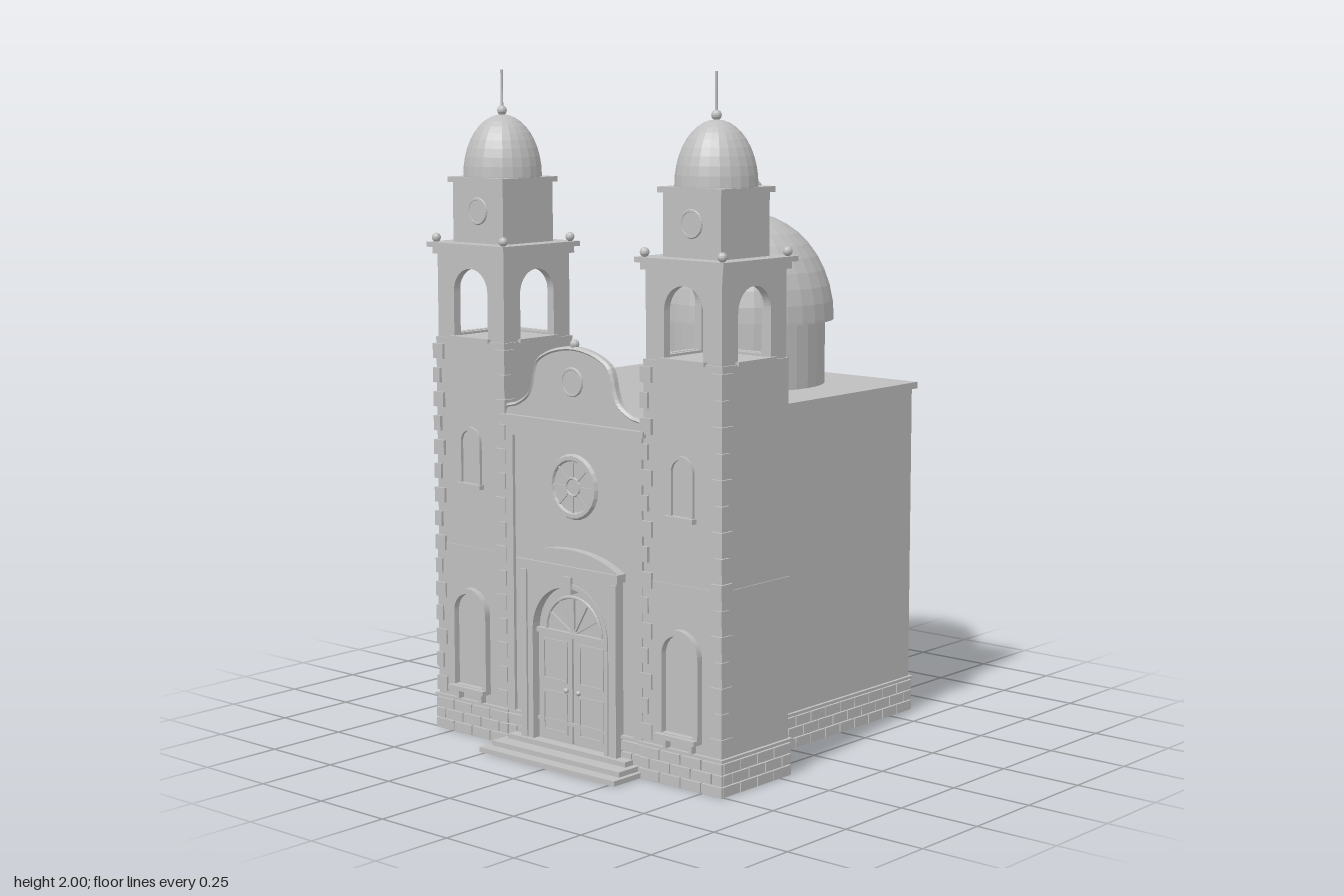
import * as THREE from 'three';

const stone = new THREE.MeshStandardMaterial({ color: 0xbfbfbf, flatShading: true });

function add(parent, name, geo, x = 0, y = 0, z = 0) {
  const m = new THREE.Mesh(geo, stone);
  m.name = name;
  m.position.set(x, y, z);
  parent.add(m);
  return m;
}

function group(name) {
  const g = new THREE.Group();
  g.name = name;
  return g;
}

// Box given by its extents
const block = (parent, name, x0, x1, y0, y1, z0, z1) =>
  add(parent, name, new THREE.BoxGeometry(x1 - x0, y1 - y0, z1 - z0), (x0 + x1) / 2, (y0 + y1) / 2, (z0 + z1) / 2);
const ball = (parent, name, r, x, y, z) => add(parent, name, new THREE.SphereGeometry(r, 12, 8), x, y, z);
const points = list => list.map(p => new THREE.Vector2(...p));
const rect = (w, y0, y1) => new THREE.Shape(points([[-w, y0], [w, y0], [w, y1], [-w, y1]]));
const extrude = (shape, depth) => new THREE.ExtrudeGeometry(shape, { depth, bevelEnabled: false, curveSegments: 12 });

// Round-headed outline: half width, foot, spring line
function arch(w, y0, spring) {
  const s = new THREE.Shape();
  s.moveTo(-w, y0);
  s.lineTo(w, y0);
  s.absarc(0, spring, w, 0, Math.PI, false);
  return s;
}

function framed(outer, hole, depth) {
  outer.holes.push(hole);
  return extrude(outer, depth);
}

// Dome with a short lip
function dome(r, h, segs) {
  const profile = [[r * 0.9, -0.008], [r, -0.008]];
  for (let i = 0; i <= 10; i++) {
    const a = (i / 10) * Math.PI / 2;
    profile.push([i === 10 ? 0 : r * Math.cos(a), h * Math.sin(a)]);
  }
  return new THREE.LatheGeometry(points(profile), segs);
}

// Staggered brick plinth around a rectangle
function brickBase(parent, x0, x1, z0, z1) {
  const g = group('brickBase'), t = 0.008, c = 0.01, rowH = 0.033;
  parent.add(g);
  block(g, 'plinthCap', x0 - c, x1 + c, 0.1, 0.108, z0 - c, z1 + c);
  const run = (a, b, place) => {
    const n = Math.max(1, Math.round((b - a) / 0.075)), w = (b - a) / n;
    for (let r = 0; r < 3; r++) for (let i = -(r % 2); i < n; i++) {
      const s = a + (i + (r % 2) / 2) * w;
      place(Math.max(a, s) + 0.002, Math.min(b, s + w) - 0.002, r * rowH, (r + 1) * rowH - 0.004);
    }
  };
  for (const z of [z0, z1]) run(x0 - t, x1 + t, (s, e, y0, y1) => block(g, 'brick', s, e, y0, y1, z - t, z + t));
  for (const x of [x0, x1]) run(z0, z1, (s, e, y0, y1) => block(g, 'brick', x - t, x + t, y0, y1, s, e));
}

function roundWindow(parent, r, x, y, z) {
  add(parent, 'roundWindowRim', new THREE.TorusGeometry(r, r * 0.14, 6, 24), x, y, z);
  add(parent, 'roundWindowPane', new THREE.CircleGeometry(r, 24), x, y, z + 0.003);
}

// Bell tower, built around its own axis
function tower(side) {
  const g = group(side > 0 ? 'leftTower' : 'rightTower'), f = 0.147;
  block(g, 'lowerShaft', -f, f, 0, 0.58, -f, f);
  block(g, 'upperShaft', -0.144, 0.144, 0.58, 1.2, -0.144, 0.144);
  brickBase(g, -f, f, -f, f);

  // Quoins on the two front corners
  for (const sx of [-1, 1]) for (let i = 0; i < 15; i++) {
    const w = i % 2 ? 0.028 : 0.042, y = 0.118 + i * 0.073, cx = sx * (f + 0.004 - w / 2);
    block(g, 'quoin', cx - w / 2, cx + w / 2, y, y + 0.045, f - w, f + 0.006);
  }

  // Lower and upper windows
  add(g, 'windowFrame', framed(arch(0.075, 0.15, 0.38), arch(0.058, 0.154, 0.38), 0.02), 0, 0, f);
  block(g, 'windowSill', -0.075, 0.075, 0.138, 0.152, f - 0.01, f + 0.035);
  for (const x of [-0.048, 0.048]) block(g, 'sillBracket', x - 0.006, x + 0.006, 0.11, 0.14, f - 0.01, f + 0.02);
  add(g, 'smallWindowFrame', framed(arch(0.045, 0.77, 0.9), arch(0.034, 0.775, 0.9), 0.009), 0, 0, 0.144);
  block(g, 'smallSill', -0.052, 0.052, 0.76, 0.774, 0.13, 0.162);

  // Open belfry
  block(g, 'belfryFloor', -0.145, 0.145, 1.195, 1.205, -0.145, 0.145);
  for (let i = 0; i < 4; i++) {
    const wall = framed(rect(0.139, 1.2, 1.465), arch(0.071, 1.212, 1.345), 0.025).translate(0, 0, 0.114);
    const sill = new THREE.BoxGeometry(0.165, 0.012, 0.02).translate(0, 1.207, 0.141);
    add(g, 'belfryWall', wall).rotation.y = i * Math.PI / 2;
    add(g, 'belfrySill', sill).rotation.y = i * Math.PI / 2;
  }
  const bell = [[0, 0.004], [0.036, 0], [0.036, 0.004], [0.022, 0.03], [0.019, 0.055], [0.012, 0.068], [0, 0.07]];
  add(g, 'bell', new THREE.LatheGeometry(points(bell), 16), 0, 1.342, 0);
  block(g, 'bellBeam', -0.12, 0.12, 1.412, 1.426, -0.008, 0.008);
  block(g, 'belfryCorniceLower', -0.15, 0.15, 1.455, 1.475, -0.15, 0.15);
  block(g, 'belfryCornice', -0.162, 0.162, 1.475, 1.49, -0.162, 0.162);
  for (const x of [-0.141, 0.141]) for (const z of [-0.141, 0.141]) ball(g, 'cornerFinial', 0.014, x, 1.503, z);

  // Upper stage, cupola and spike
  block(g, 'upperStage', -0.105, 0.105, 1.49, 1.67, -0.105, 0.105);
  block(g, 'upperCornice', -0.116, 0.116, 1.668, 1.684, -0.116, 0.116);
  roundWindow(g, 0.036, 0, 1.585, 0.106);
  add(g, 'cupola', dome(0.117, 0.18, 24), 0, 1.688, 0);
  ball(g, 'cupolaBall', 0.015, 0, 1.88, 0);
  add(g, 'spike', new THREE.CylinderGeometry(0.004, 0.004, 0.12, 8), 0, 1.94, 0);
  g.position.set(side * 0.418, 0, 0.352);
  return g;
}

// Rear hall with the great dome
function rearHall() {
  const g = group('rearHall'), z = -0.283;
  block(g, 'hallWalls', -0.4, 0.4, 0, 1.02, -0.607, 0.042);
  block(g, 'hallCornice', -0.412, 0.412, 1.02, 1.04, -0.62, 0.053);
  brickBase(g, -0.4, 0.4, -0.607, 0.042);
  add(g, 'drum', new THREE.CylinderGeometry(0.245, 0.245, 0.21, 32), 0, 1.14, z);
  add(g, 'greatDome', dome(0.272, 0.318, 32), 0, 1.246, z);
  add(g, 'lantern', new THREE.CylinderGeometry(0.04, 0.04, 0.1, 16), 0, 1.585, z);
  add(g, 'lanternRim', new THREE.CylinderGeometry(0.052, 0.052, 0.008, 16), 0, 1.636, z);
  add(g, 'lanternCap', dome(0.048, 0.03, 16), 0, 1.642, z);
  ball(g, 'lanternBall', 0.016, 0, 1.682, z);
  return g;
}

// Nave with a gabled roof
function nave() {
  const outline = [[-0.288, 0], [0.288, 0], [0.288, 0.965], [0, 1.14], [-0.288, 0.965]];
  const g = group('nave');
  add(g, 'naveBody', extrude(new THREE.Shape(points(outline)), 0.44), 0, 0, 0.028);
  return g;
}

function facade() {
  const g = group('facade'), F = 0.492;
  block(g, 'frontWall', -0.275, 0.275, 0, 0.985, 0.45, F);
  add(g, 'panelFrame', framed(rect(0.272, 0.1, 0.985), rect(0.238, 0.11, 0.94), 0.01), 0, 0, F);
  block(g, 'frontCornice', -0.284, 0.284, 0.982, 1.0, 0.45, F + 0.02);

  // Curved gable with a coping along its edge
  const half = [[0.27, 1.0], [0.268, 1.02], [0.225, 1.032], [0.178, 1.062], [0.16, 1.1], [0.152, 1.135],
    [0.14, 1.165], [0.1, 1.19], [0.05, 1.205]];
  const edge = [...half, [0, 1.21], ...half.map(([x, y]) => [-x, y]).reverse()];
  const curve = new THREE.CatmullRomCurve3(edge.map(([x, y]) => new THREE.Vector3(x, y, 0)));
  const gable = new THREE.Shape(curve.getPoints(60).map(p => new THREE.Vector2(p.x, p.y)));
  add(g, 'gable', extrude(gable, 0.024), 0, 0, 0.472);
  add(g, 'gableCoping', new THREE.TubeGeometry(curve, 60, 0.008, 6), 0, 0, 0.485).scale.z = 2;
  ball(g, 'gableFinial', 0.014, 0, 1.224, 0.485);
  roundWindow(g, 0.038, 0, 1.115, 0.497);

  // Large round window with spokes
  roundWindow(g, 0.085, 0, 0.81, F);
  for (let i = 0; i < 8; i++) {
    const spoke = new THREE.BoxGeometry(0.006, 0.05, 0.006).translate(0, 0.052, 0);
    add(g, 'windowSpoke', spoke, 0, 0.81, F + 0.004).rotation.z = i * Math.PI / 4;
  }
  add(g, 'windowHub', new THREE.TorusGeometry(0.026, 0.004, 6, 16), 0, 0.81, F + 0.004);

  // Portal and double door
  add(g, 'portalSurround', framed(rect(0.19, 0.04, 0.56), arch(0.15, 0.045, 0.375), 0.026), 0, 0, F);
  add(g, 'portalArch', framed(arch(0.156, 0.04, 0.375), arch(0.142, 0.045, 0.375), 0.03), 0, 0, F);
  block(g, 'portalKeystone', -0.016, 0.016, 0.5, 0.55, F, F + 0.034);
  for (const s of [-1, 1]) {
    brickBase(g, s * 0.23 - 0.035, s * 0.23 + 0.035, 0.46, F + 0.002);
    block(g, 'pilaster', s * 0.178 - 0.012, s * 0.178 + 0.012, 0.04, 0.55, F, F + 0.032);
    block(g, 'doorLeaf', s * 0.072 - 0.067, s * 0.072 + 0.067, 0.045, 0.365, F, F + 0.007);
    for (const y of [0.07, 0.225]) {
      const panel = framed(rect(0.05, y, y + 0.125), rect(0.042, y + 0.008, y + 0.117), 0.005);
      add(g, 'doorPanel', panel, s * 0.072, 0, F + 0.006);
    }
    ball(g, 'doorKnob', 0.008, s * 0.025, 0.205, F + 0.012);
  }
  block(g, 'doorTransom', -0.145, 0.145, 0.365, 0.379, F, F + 0.014);
  add(g, 'fanlightArch', new THREE.TorusGeometry(0.11, 0.005, 6, 20, Math.PI), 0, 0.375, F + 0.004);
  for (let i = 1; i < 6; i++) {
    const bar = new THREE.BoxGeometry(0.006, 0.11, 0.008).translate(0, 0.055, 0);
    add(g, 'fanlightBar', bar, 0, 0.375, F + 0.003).rotation.z = (i / 6 - 0.5) * Math.PI;
  }
  block(g, 'portalCornice', -0.2, 0.2, 0.558, 0.582, F, F + 0.036);
  const pediment = new THREE.Shape();
  pediment.moveTo(-0.2, 0.58);
  pediment.quadraticCurveTo(-0.12, 0.63, 0, 0.63);
  pediment.quadraticCurveTo(0.12, 0.63, 0.2, 0.58);
  add(g, 'portalPediment', extrude(pediment, 0.028), 0, 0, F);

  // Steps
  for (const [w, z, h] of [[0.27, 0.62, 0.015], [0.255, 0.582, 0.03], [0.235, 0.535, 0.045]])
    block(g, 'step', -w, w, 0, h, 0.46, z);
  return g;
}

export function createModel() {
  const model = group('church');
  model.add(rearHall(), nave(), facade(), tower(1), tower(-1));
  return model;
}
